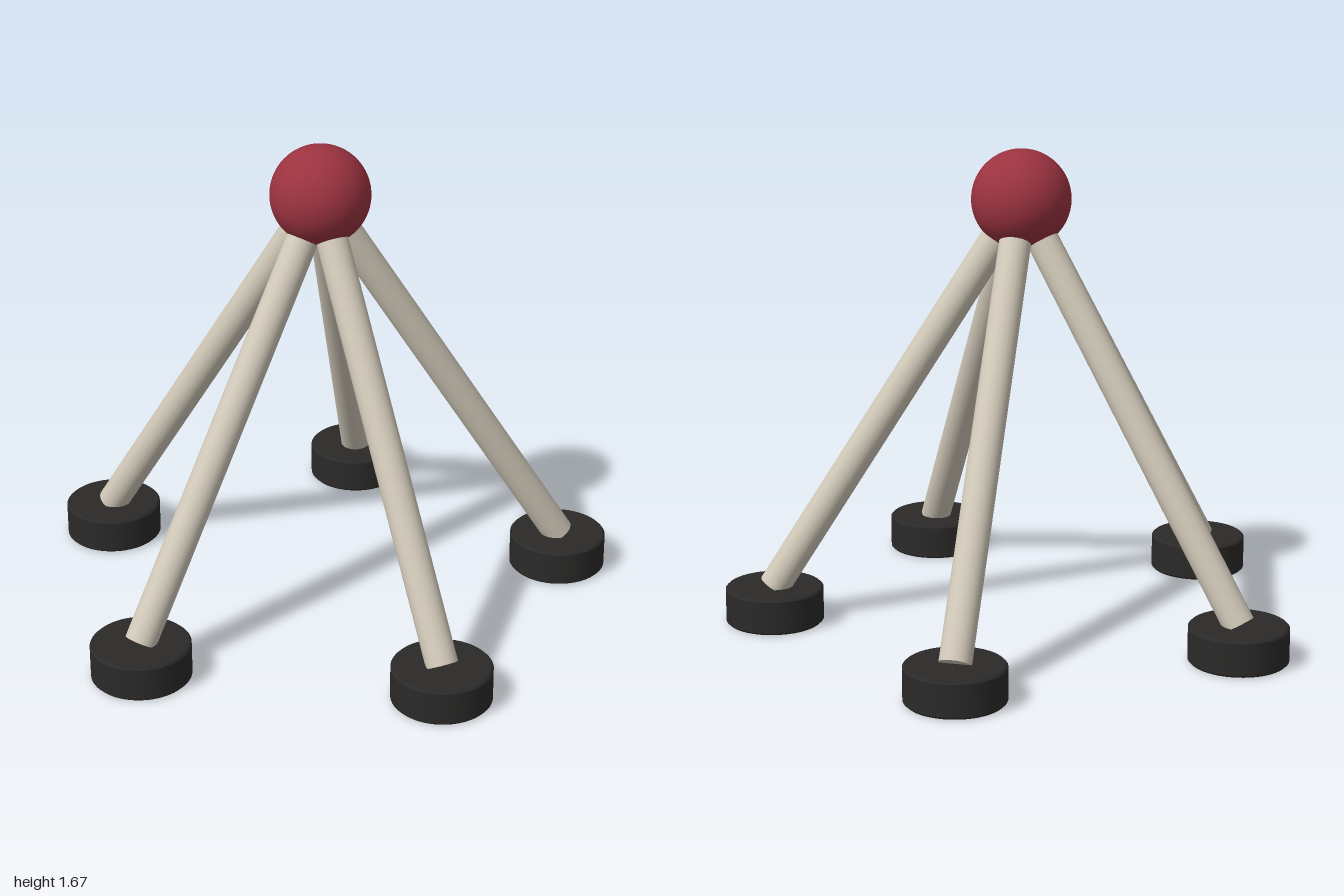
import * as THREE from 'three';
import { toCreasedNormals } from 'three/addons/utils/BufferGeometryUtils.js';

const CENTRE_X = -0.083, BALL_Y = 1.5, BALL_R = 0.172;
const LEG_COUNT = 5, SPREAD = 0.87, LEG_R = 0.055;
const FOOT_R = 0.172, FOOT_H = 0.127, BEVEL = 0.007;

const material = (color) => new THREE.MeshStandardMaterial({ color });

// Disc foot with a narrow bevel on both rims
function footGeometry() {
  const profile = [
    [0, 0], [FOOT_R - BEVEL, 0], [FOOT_R, BEVEL],
    [FOOT_R, FOOT_H - BEVEL], [FOOT_R - BEVEL, FOOT_H], [0, FOOT_H],
  ].map(([r, y]) => new THREE.Vector2(r, y));
  return toCreasedNormals(new THREE.LatheGeometry(profile, 64), 0.5);
}

export function createModel() {
  const model = new THREE.Group();
  model.name = 'fiveLeggedStand';
  model.position.x = CENTRE_X;

  const red = material(0x9b3340), cream = material(0xd0c8b8), black = material(0x2b2a29);

  // Ball where all legs meet
  const ball = new THREE.Mesh(new THREE.SphereGeometry(BALL_R, 64, 40), red);
  ball.name = 'ball';
  ball.position.y = BALL_Y;
  model.add(ball);

  // Each leg runs from the ball's centre to the top of its foot
  const rise = BALL_Y - FOOT_H;
  const legGeo = new THREE.CylinderGeometry(LEG_R, LEG_R, Math.hypot(SPREAD, rise), 40);
  const footGeo = footGeometry();

  for (let i = 0; i < LEG_COUNT; i++) {
    const arm = new THREE.Group();
    arm.name = `legAssembly${i + 1}`;
    arm.rotation.y = (i * Math.PI * 2) / LEG_COUNT;

    const leg = new THREE.Mesh(legGeo, cream);
    leg.name = 'leg';
    leg.position.set(SPREAD / 2, FOOT_H + rise / 2, 0);
    leg.rotation.z = Math.atan2(SPREAD, rise);

    const foot = new THREE.Mesh(footGeo, black);
    foot.name = 'foot';
    foot.position.x = SPREAD;

    arm.add(leg, foot);
    model.add(arm);
  }

  const group = new THREE.Group();
  group.add(model);
  return group;
}
